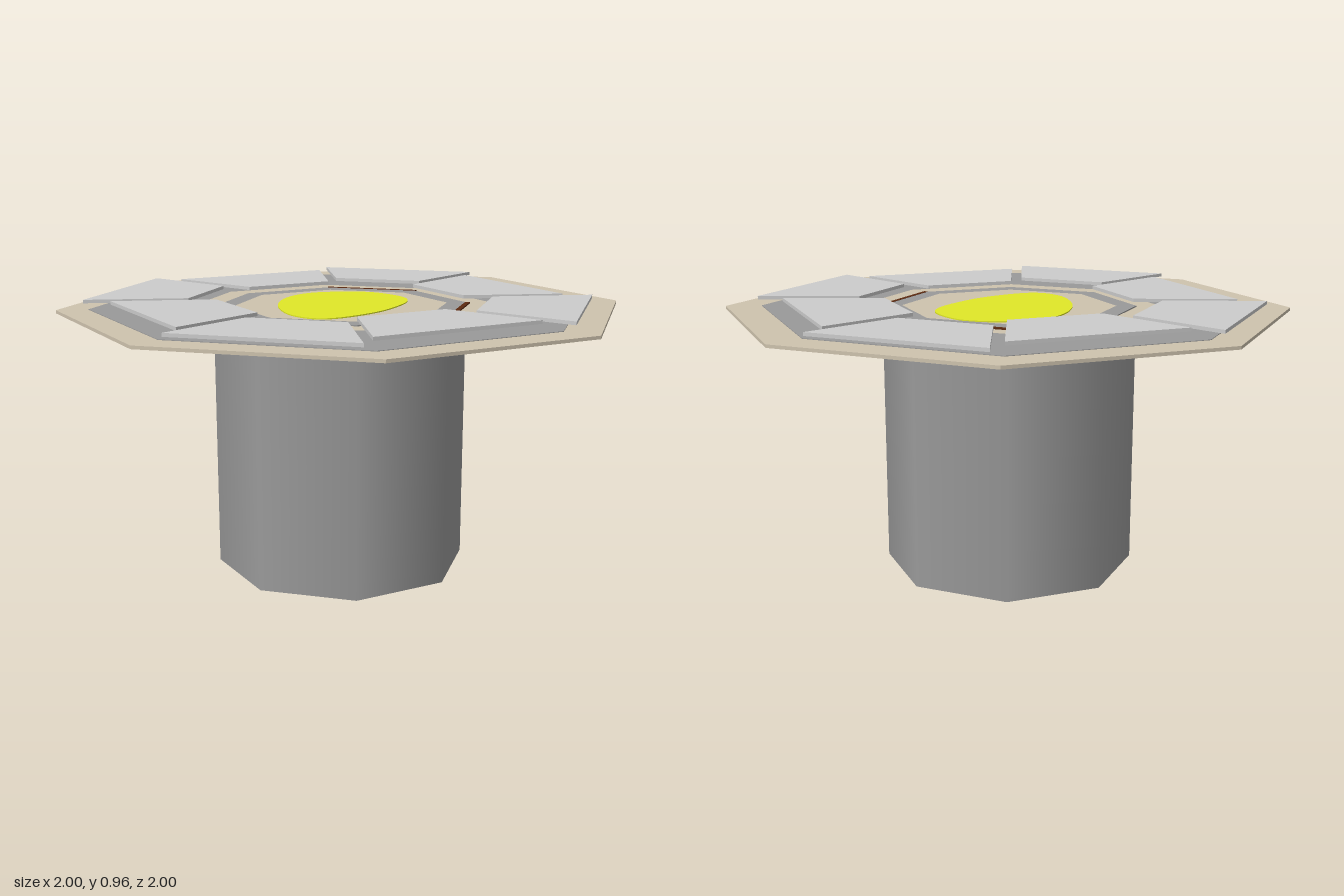
import * as THREE from 'three';

const mat = (color) => new THREE.MeshStandardMaterial({ color, flatShading: false });
const TAN = mat(0xcec3ae), GREY = mat(0x999999), LIGHT = mat(0xcccccc);
const BROWN = mat(0x5c2a10), YELLOW = mat(0xe0e828);

// point on the octagon's corner number i, as [x, z]
const corner = (r, i) => [r * Math.cos(i * Math.PI / 4), r * Math.sin(i * Math.PI / 4)];
const octagon = (r) => Array.from({ length: 8 }, (_, i) => corner(r, i));
// one eighth of an octagonal ring
const sector = (r0, r1, i) => [corner(r0, i), corner(r1, i), corner(r1, i + 1), corner(r0, i + 1)];

// flat slab from an [x, z] outline between two heights
function slab(name, material, outline, y0, y1, hole) {
  const toVec = ([x, z]) => new THREE.Vector2(x, -z);
  const shape = new THREE.Shape(outline.map(toVec));
  if (hole) shape.holes.push(new THREE.Path(hole.map(toVec)));
  const geo = new THREE.ExtrudeGeometry(shape, { depth: y1 - y0, bevelEnabled: false });
  geo.rotateX(-Math.PI / 2).translate(0, y0, 0);
  const mesh = new THREE.Mesh(geo, material);
  mesh.name = name;
  return mesh;
}

export function createModel() {
  const model = new THREE.Group();
  model.name = 'octagonalTable';

  // table top
  model.add(slab('tableTop', TAN, octagon(1), 0.925, 0.936));

  // parts standing slightly off the table top's centre
  const inner = new THREE.Group();
  inner.name = 'pedestalAndPlates';
  inner.position.set(-0.008, 0, 0.004);
  model.add(inner);

  // eight-sided pedestal with smooth sides
  const pedestal = new THREE.Mesh(new THREE.CylinderGeometry(0.45, 0.45, 0.93, 8), GREY);
  pedestal.name = 'pedestal';
  pedestal.position.y = 0.465;
  inner.add(pedestal);

  // flat grey bands on the top
  inner.add(slab('outerBand', GREY, octagon(0.88), 0.935, 0.938, octagon(0.54)));
  inner.add(slab('innerBand', GREY, octagon(0.45), 0.935, 0.94, octagon(0.38)));

  // floating plates, every other one shifted outward
  for (let i = 0; i < 8; i++) {
    const plate = slab('plate', LIGHT, sector(0.44, 0.805, i), 0.953, 0.965);
    if (i % 2 === 0) {
      const a = (i + 0.5) * Math.PI / 4;
      plate.position.set(0.105 * Math.cos(a), 0, 0.105 * Math.sin(a));
    }
    inner.add(plate);
  }

  // brown strips beside two of the shifted plates
  for (const i of [0, 6]) inner.add(slab('brownStrip', BROWN, sector(0.447, 0.465, i), 0.935, 0.941));

  // brown panels on the underside
  for (const i of [1, 2]) model.add(slab('undersidePanel', BROWN, sector(0.42, 0.935, i), 0.923, 0.926));

  // egg-shaped inlay in the middle
  const egg = [
    [0.03, -0.32], [0.13, -0.3], [0.2, -0.23], [0.245, -0.13], [0.235, -0.04], [0.18, 0.07],
    [0.1, 0.18], [0, 0.265], [-0.08, 0.305], [-0.14, 0.295], [-0.2, 0.22], [-0.23, 0.09],
    [-0.23, -0.03], [-0.2, -0.16], [-0.14, -0.26], [-0.07, -0.31],
  ].map(([x, z]) => new THREE.Vector3(x, 0, z));
  const outline = new THREE.CatmullRomCurve3(egg, true).getPoints(64).slice(0, -1).map((p) => [p.x, p.z]);
  model.add(slab('eggInlay', YELLOW, outline, 0.935, 0.94));

  return model;
}
